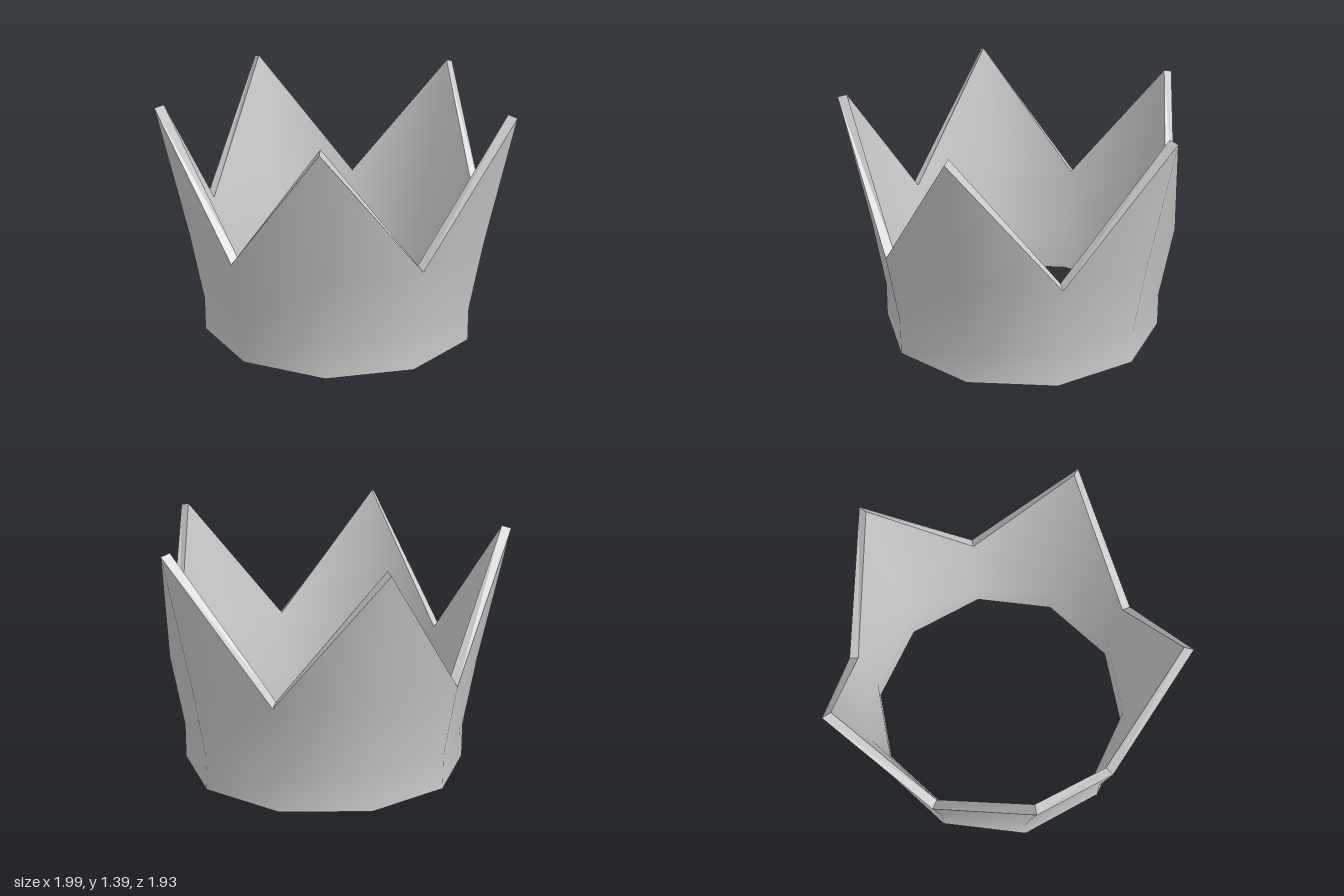
import * as THREE from 'three';

const SIDES = 10;          // columns alternate: even = point, odd = valley
const TURN = 0.056;        // slight rotation about the vertical axis
const CENTRE = [-0.018, -0.083];

// [radius, height] of the three rings and of the points
const OUTER = { rings: [[0.813, 0], [0.813, 0.2], [0.888, 0.62]], tip: [1.05, 1.375] };
const INNER = { rings: [[0.757, 0], [0.757, 0.21], [0.834, 0.64]], tip: [0.996, 1.39] };

function at([r, y], column) {
  const a = TURN + (column * Math.PI * 2) / SIDES;
  return [CENTRE[0] + r * Math.sin(a), y, CENTRE[1] + r * Math.cos(a)];
}

function makeMesh(name, positions, index) {
  const geometry = new THREE.BufferGeometry();
  geometry.setAttribute('position', new THREE.Float32BufferAttribute(positions.flat(), 3));
  if (index) geometry.setIndex(index);
  geometry.computeVertexNormals();
  const mesh = new THREE.Mesh(geometry, new THREE.MeshStandardMaterial({ color: 0xcccccc }));
  mesh.name = name;
  return mesh;
}

// Smooth wall: stacked rings with a triangular point over every even column
function wall(name, profile, inward) {
  const points = [], index = [];
  const tri = (a, b, c) => (inward ? index.push(a, c, b) : index.push(a, b, c));
  for (const ring of profile.rings)
    for (let i = 0; i < SIDES; i++) points.push(at(ring, i));
  for (let i = 0; i < SIDES; i += 2) points.push(at(profile.tip, i));

  for (let r = 0; r < 2; r++) {
    for (let i = 0; i < SIDES; i++) {
      const a = r * SIDES + i, b = r * SIDES + (i + 1) % SIDES;
      tri(a, b, b + SIDES);
      tri(a, b + SIDES, a + SIDES);
    }
  }
  const top = 2 * SIDES;
  for (let i = 0; i < SIDES; i += 2) {
    const tip = 3 * SIDES + i / 2;
    tri(top + (i + SIDES - 1) % SIDES, top + i, tip);
    tri(top + i, top + i + 1, tip);
  }
  return makeMesh(name, points, index);
}

// Flat-faced strip joining the outer and inner walls along an edge
function strip(name, edge, down) {
  const points = [];
  for (let i = 0; i < SIDES; i++) {
    const a = at(edge(OUTER, i), i), b = at(edge(OUTER, i + 1), i + 1);
    const c = at(edge(INNER, i + 1), i + 1), d = at(edge(INNER, i), i);
    if (down) points.push(a, c, b, a, d, c);
    else points.push(a, b, c, a, c, d);
  }
  return makeMesh(name, points);
}

export function createModel() {
  const crown = new THREE.Group();
  crown.name = 'crown';
  crown.add(
    wall('outerWall', OUTER, false),
    wall('innerWall', INNER, true),
    strip('zigzagRim', (p, i) => (i % 2 ? p.rings[2] : p.tip), false),
    strip('bottomRim', (p) => p.rings[0], true),
  );
  return crown;
}
